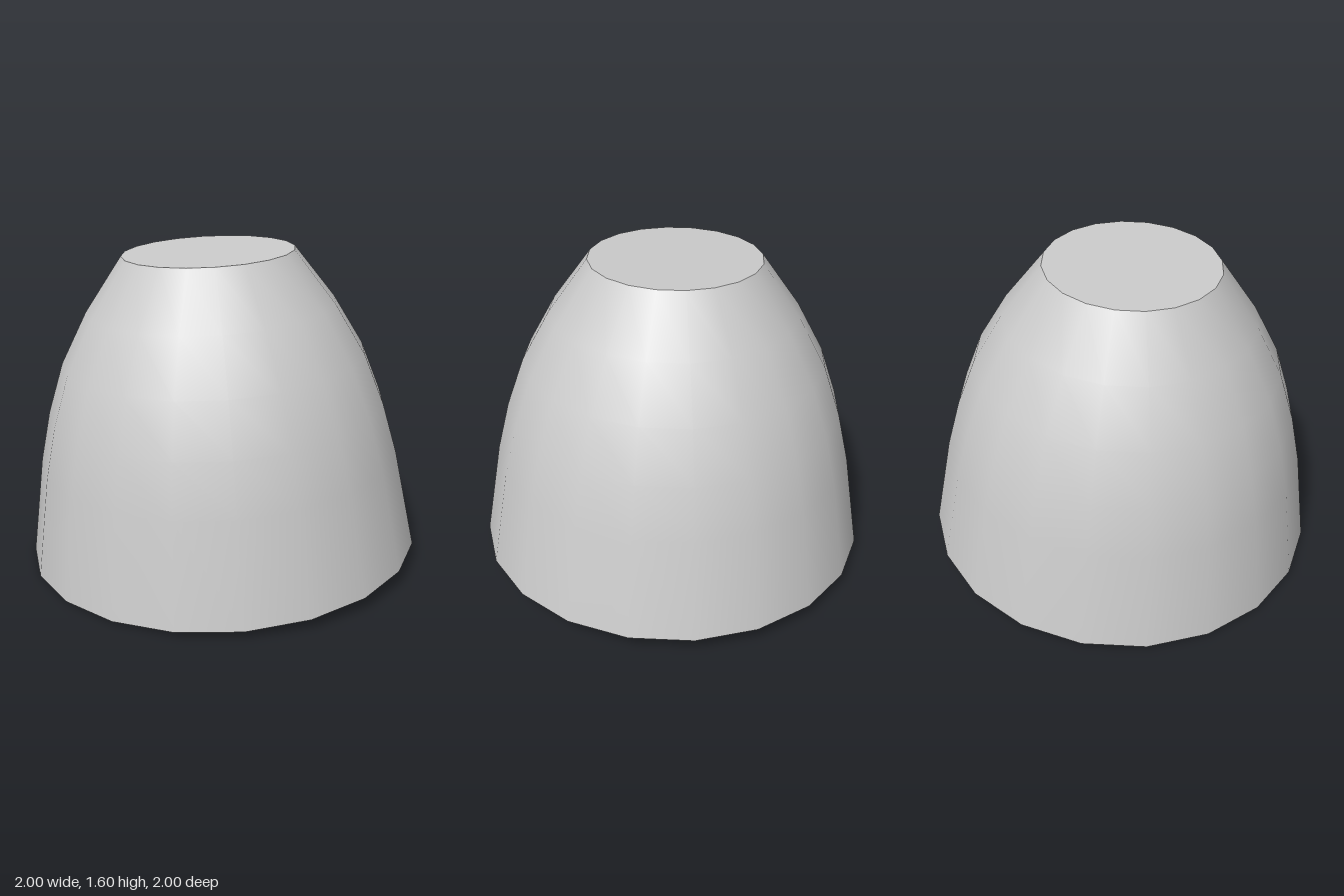
import * as THREE from 'three';

const SIDES = 20;
const material = new THREE.MeshStandardMaterial({ color: 0xcccccc });

// Turned surface; a profile running upward faces outward, downward faces inward
function turned(name, points) {
  const profile = points.map(([r, y]) => new THREE.Vector2(r, y));
  const mesh = new THREE.Mesh(new THREE.LatheGeometry(profile, SIDES), material);
  mesh.name = name;
  return mesh;
}

export function createModel() {
  const model = new THREE.Group();
  model.name = 'taperedCup';

  const outer = [
    [1.001, 0], [0.913, 0.505], [0.85, 0.757], [0.761, 1.008], [0.621, 1.261], [0.428, 1.527],
  ];
  const wall = 0.038;
  const inner = outer.map(([r, y], i) => [r - wall, i === outer.length - 1 ? y - wall : y]);
  const [topR, topY] = outer[outer.length - 1];
  const [ceilingR, ceilingY] = inner[inner.length - 1];

  // Separate surfaces keep the rim and top edges sharp while the wall stays smooth
  model.add(
    turned('outerWall', outer),
    turned('topCap', [[topR, topY], [0, topY]]),
    turned('innerWall', [...inner].reverse()),
    turned('innerCeiling', [[0, ceilingY], [ceilingR, ceilingY]]),
    turned('rim', [inner[0], outer[0]]),
  );

  // The cup leans slightly, resting on one point of its rim
  model.rotation.z = THREE.MathUtils.degToRad(3);
  model.position.y = 0.0524;

  const root = new THREE.Group();
  root.name = 'leaningCup';
  root.add(model);
  return root;
}
